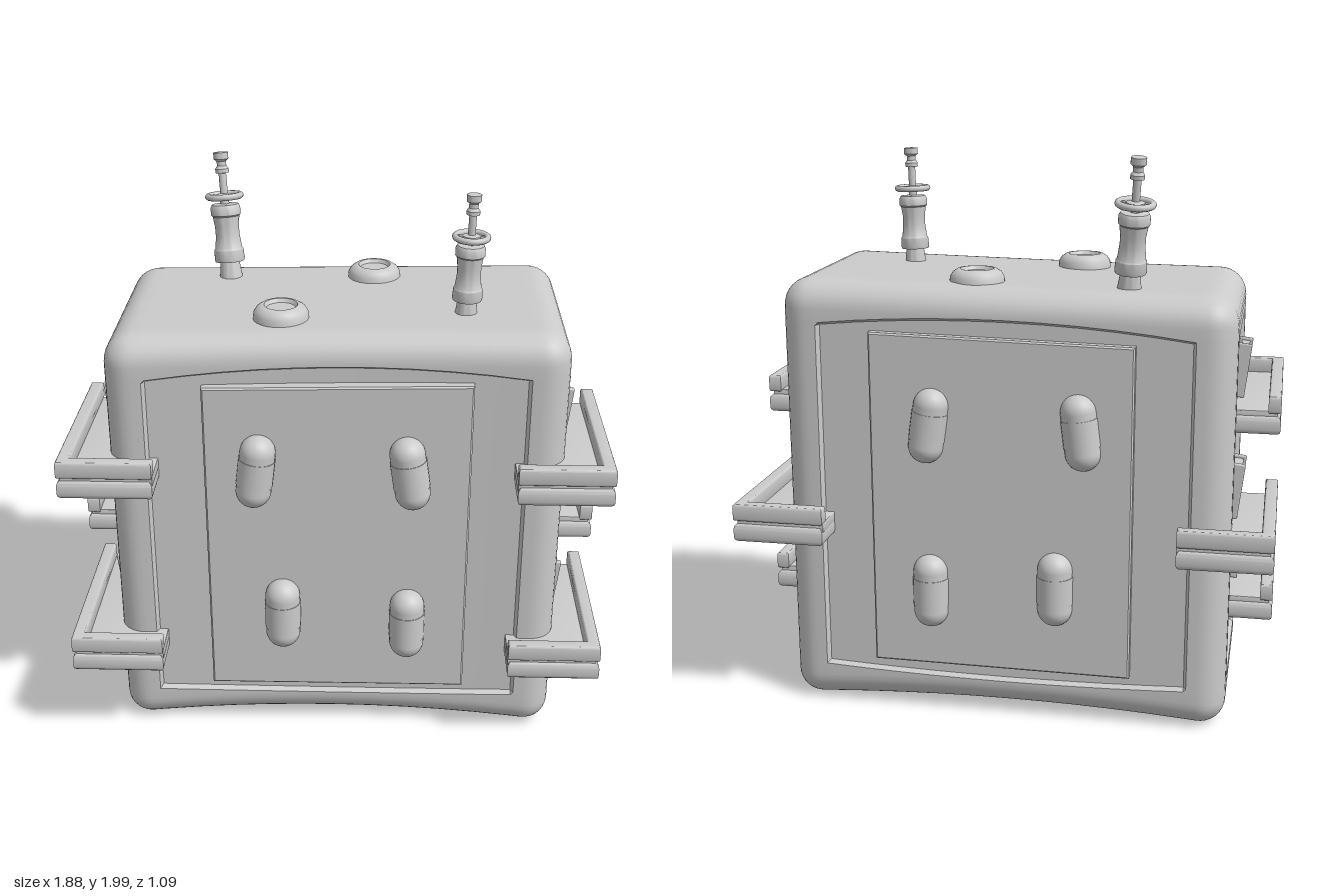
import * as THREE from 'three';
import { toCreasedNormals } from 'three/addons/utils/BufferGeometryUtils.js';
import { RoundedBoxGeometry } from 'three/addons/geometries/RoundedBoxGeometry.js';

const grey = new THREE.MeshStandardMaterial({ color: 0xcccccc });

function add(parent, name, geometry, x = 0, y = 0, z = 0) {
  const mesh = new THREE.Mesh(geometry, grey);
  mesh.name = name;
  mesh.position.set(x, y, z);
  parent.add(mesh);
  return mesh;
}

// Grid positions along one axis: fine at the rounded edge, doubled at the panel edge
function axisGrid(half, panel, r) {
  const side = [panel];
  for (let i = 0; i <= 4; i++) side.push(half - r + r * Math.tan((i * Math.PI) / 16));
  const inner = [];
  for (let i = 0; i <= 10; i++) inner.push((panel - 0.01) * (i / 5 - 1));
  return [...side.map((v) => -v).reverse(), ...inner, ...side];
}

// Rounded case with sunken panels on four sides, gently warped
function caseGeometry() {
  const r = 0.1, half = [0.79, 0.785, 0.42], panel = [0.655, 0.64, 0.285];
  const grids = half.map((h, a) => axisGrid(h, panel[a], r));
  const n = grids[0].length - 1;
  const geo = new THREE.BoxGeometry(2, 2, 2, n, n, n);
  const pos = geo.attributes.position;
  for (let i = 0; i < pos.count; i++) {
    const p = [pos.getX(i), pos.getY(i), pos.getZ(i)].map((c, a) => grids[a][Math.round(((c + 1) / 2) * n)]);
    const within = (a, margin) => Math.abs(p[a]) < panel[a] - margin;
    const onFace = (a) => Math.abs(p[a]) > half[a] - 1e-5;
    const sunkX = onFace(0) && within(1, 0.009) && within(2, 0.009);
    const sunkZ = onFace(2) && within(0, 0.009) && within(1, 0.009);
    const arched = onFace(2) && within(0, -0.001) && within(1, -0.001);
    // round the edges
    const core = new THREE.Vector3(...p.map((c, a) => THREE.MathUtils.clamp(c, r - half[a], half[a] - r)));
    const v = new THREE.Vector3(...p).sub(core).setLength(r).add(core);
    if (sunkX) v.x -= Math.sign(v.x) * 0.02;
    if (sunkZ) v.z -= Math.sign(v.z) * 0.02;
    // warp: arched panel ends, hollow bottom and front, sloping top
    const u = v.x / 0.79, bow = 1 - u * u;
    if (arched) v.y += 0.04 * Math.max(0, 1 - (v.x / 0.655) ** 2) * (v.y / 0.64);
    v.y += half[1];
    const t = v.y / 1.57;
    v.y += 0.035 * bow * (1 - t) + 0.014 * (u - 1) * t;
    if (v.z > 0) v.z -= 0.03 * bow * (v.z / 0.42);
    pos.setXYZ(i, v.x, v.y, v.z);
  }
  return toCreasedNormals(geo, 0.5);
}

// Flat slab from an outline in x and z, between two heights
function slab(points, y0, y1, bevel) {
  const shape = new THREE.Shape(points.map(([x, z]) => new THREE.Vector2(x, -z)));
  const geo = new THREE.ExtrudeGeometry(shape, {
    depth: y1 - y0 - 2 * bevel, bevelEnabled: true, bevelSize: bevel,
    bevelThickness: bevel, bevelOffset: -bevel, bevelSegments: 3,
  });
  geo.rotateX(-Math.PI / 2).translate(0, y0 + bevel, 0);
  return toCreasedNormals(geo, 0.6);
}

// Corner bumper: solid shelf, narrow groove and raised L-shaped lip
function bumper(parent, side, dir, y, end) {
  const g = new THREE.Group();
  g.name = 'cornerBumper';
  g.position.y = y;
  parent.add(g);
  const place = (pts) => pts.map(([x, z]) => [x * side, z * dir]);
  const rect = (d) => place([[0.615, 0.545 - d], [0.94 - d, 0.545 - d], [0.94 - d, end + d], [0.615, end + d]]);
  add(g, 'bumperShelf', slab(rect(0), 0, 0.068, 0.018));
  add(g, 'bumperGroove', slab(rect(0.012), 0.05, 0.085, 0.002));
  const lip = [[0.615, 0.545], [0.94, 0.545], [0.94, end], [0.895, end], [0.895, 0.5], [0.615, 0.5]];
  add(g, 'bumperLip', slab(place(lip), 0.078, 0.14, 0.008));
}

// Leaning clip with two prongs and a thin back plate
function clip(parent, side, y, z) {
  const g = new THREE.Group();
  g.name = 'sideClip';
  g.position.set(side * 0.79, y, z);
  g.rotation.z = -side * 0.12;
  parent.add(g);
  add(g, 'clipPlate', new THREE.BoxGeometry(0.03, 0.18, 0.12));
  for (const s of [-1, 1]) add(g, 'clipProng', new RoundedBoxGeometry(0.05, 0.2, 0.02, 2, 0.005), 0, 0, s * 0.058);
}

function lathe(points, segments = 32) {
  return toCreasedNormals(new THREE.LatheGeometry(points.map((p) => new THREE.Vector2(...p)), segments), 0.6);
}

// Antenna: foot, waisted grip, stem, ring and knob
function antenna(parent, x, y, z, scale, tiltX, tiltZ) {
  const g = new THREE.Group();
  g.name = 'antenna';
  g.position.set(x, y, z);
  g.rotation.set(tiltX, 0, tiltZ);
  g.scale.setScalar(scale);
  parent.add(g);
  add(g, 'antennaGrip', lathe([
    [0, 0], [0.04, 0], [0.032, 0.06], [0.05, 0.06], [0.052, 0.068], [0.05, 0.1], [0.046, 0.105], [0.041, 0.15],
    [0.041, 0.18], [0.046, 0.215], [0.051, 0.22], [0.051, 0.245], [0.045, 0.255], [0.02, 0.257], [0, 0.257],
  ]));
  add(g, 'antennaStem', lathe([
    [0.015, 0.25], [0.015, 0.275], [0.03, 0.278], [0.03, 0.288], [0.013, 0.292], [0.013, 0.36],
    [0.023, 0.362], [0.023, 0.375], [0.016, 0.385], [0.016, 0.4], [0.025, 0.408], [0.025, 0.43], [0, 0.432],
  ], 20));
  const ring = add(g, 'antennaRing', new THREE.TorusGeometry(0.055, 0.011, 10, 32), 0, 0.283, 0);
  ring.rotation.x = Math.PI / 2;
  add(g, 'ringSpoke', new THREE.BoxGeometry(0.11, 0.01, 0.014), 0, 0.283, 0);
}

export function createModel() {
  const model = new THREE.Group();
  model.name = 'case';
  add(model, 'caseBody', caseGeometry());

  // Front and back: raised plate with four capsules
  const outline = [[-0.455, 0.19], [0.465, 0.195], [0.465, 1.4], [-0.455, 1.38]];
  const plate = new THREE.ExtrudeGeometry(new THREE.Shape(outline.map((p) => new THREE.Vector2(...p))), {
    depth: 0.05, bevelEnabled: true, bevelSize: 0.006, bevelThickness: 0.006, bevelOffset: -0.006, bevelSegments: 1,
  });
  const capsules = [[-0.275, 1.08, -0.12], [0.255, 1.08, 0.14], [-0.19, 0.51, 0], [0.255, 0.475, 0]];
  for (const s of [1, -1]) {
    add(model, s > 0 ? 'frontPlate' : 'backPlate', plate, 0, 0, s > 0 ? 0.359 : -0.429);
    for (const [x, y, tilt] of capsules) {
      const g = new THREE.Group();
      g.name = 'capsule';
      g.position.set(x, y, s * 0.43);
      g.rotation.z = tilt;
      model.add(g);
      add(g, 'capsuleBody', new THREE.CapsuleGeometry(0.062, 0.145, 10, 28));
      add(g, 'capsuleBand', new THREE.CylinderGeometry(0.064, 0.064, 0.1, 28));
    }
  }

  // Sides: three bumpers with a clip above each
  for (const side of [1, -1]) {
    for (const [dir, y, end, clipZ] of [[1, 1.02, -0.13, 0.135], [-1, 0.65, -0.105, -0.15], [1, 0.32, -0.13, 0.135]]) {
      bumper(model, side, dir, y, end);
      clip(model, side, y + 0.185, clipZ);
    }
  }

  // Top: dished buttons and antennas
  const button = lathe([
    [0.097, 0], [0.095, 0.03], [0.085, 0.046], [0.068, 0.057], [0.058, 0.058], [0.05, 0.045], [0, 0.042],
  ]);
  for (const [x, z] of [[0.12, -0.24], [-0.195, 0.19]]) add(model, 'topButton', button, x, 1.543, z);
  antenna(model, -0.41, 1.54, -0.245, 1.07, -0.15, 0.07);
  antenna(model, 0.44, 1.55, 0.145, 1, 0.01, -0.03);
  return model;
}
